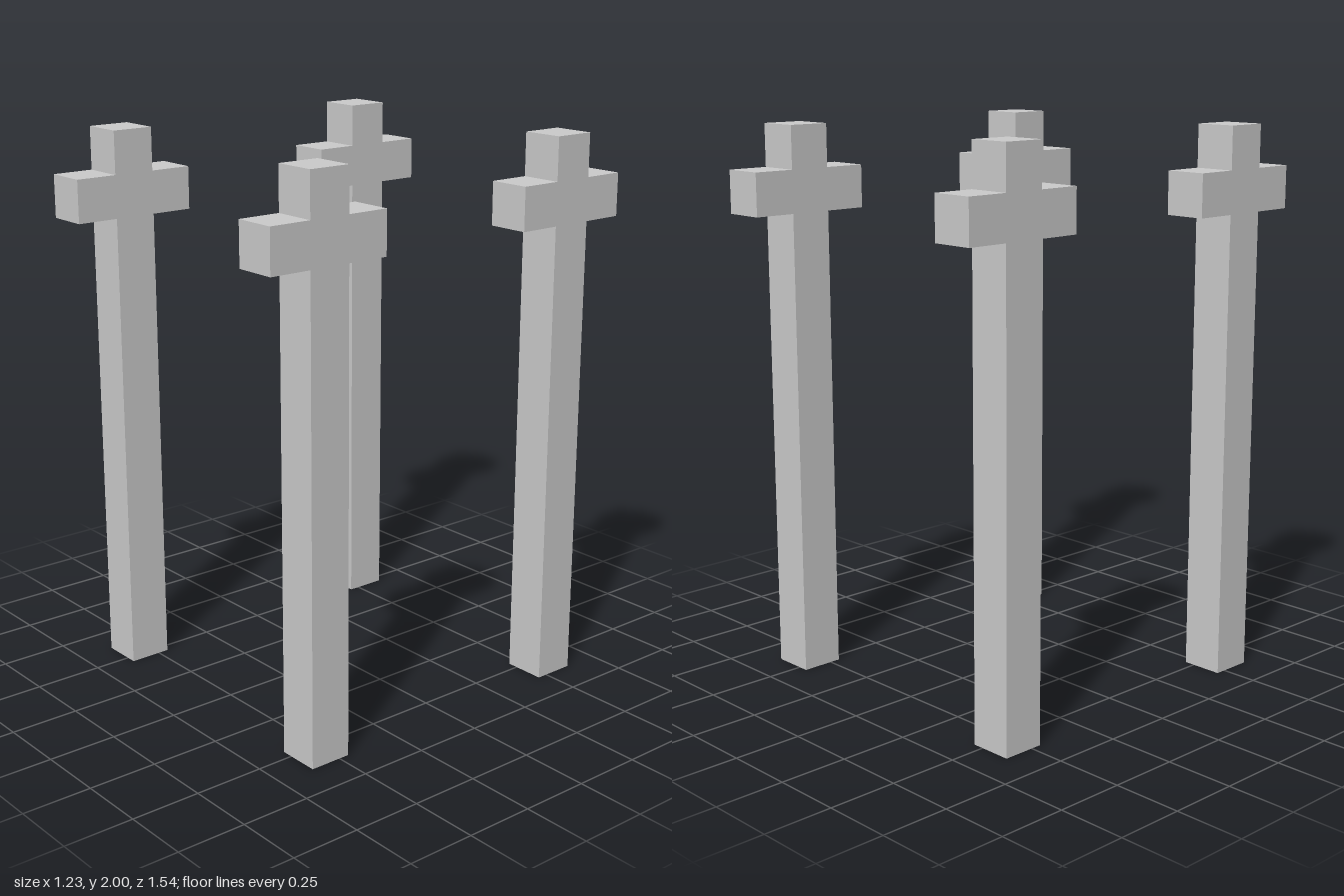
import * as THREE from 'three';

const U = 2 / 13; // beam thickness; the posts are 13 beams tall

// Cross-shaped outline of a post with its crossbar, extruded one beam thick
function postGeometry() {
  const half = [[0.5, 0], [0.5, 11], [1.5, 11], [1.5, 12], [0.5, 12], [0.5, 13]];
  const outline = [...half, ...half.map(([a, y]) => [-a, y]).reverse()];
  const shape = new THREE.Shape(outline.map(([a, y]) => new THREE.Vector2(a * U, y * U)));
  const geometry = new THREE.ExtrudeGeometry(shape, { depth: U, bevelEnabled: false });
  geometry.translate(0, 0, -U / 2);
  geometry.rotateY(Math.PI / 2); // crossbar runs front to back
  return geometry;
}

export function createModel() {
  const model = new THREE.Group();
  model.name = 'crossPosts';
  const geometry = postGeometry();
  const material = new THREE.MeshStandardMaterial({ color: 0xcccccc, flatShading: true });

  // One post at each corner
  for (const [xName, x] of [['Left', 1], ['Right', -1]]) {
    for (const [zName, z] of [['front', 1], ['back', -1]]) {
      const post = new THREE.Mesh(geometry, material);
      post.name = `${zName}${xName}Post`;
      post.position.set(x * 3.5 * U, 0, z * 3.5 * U);
      model.add(post);
    }
  }
  return model;
}
